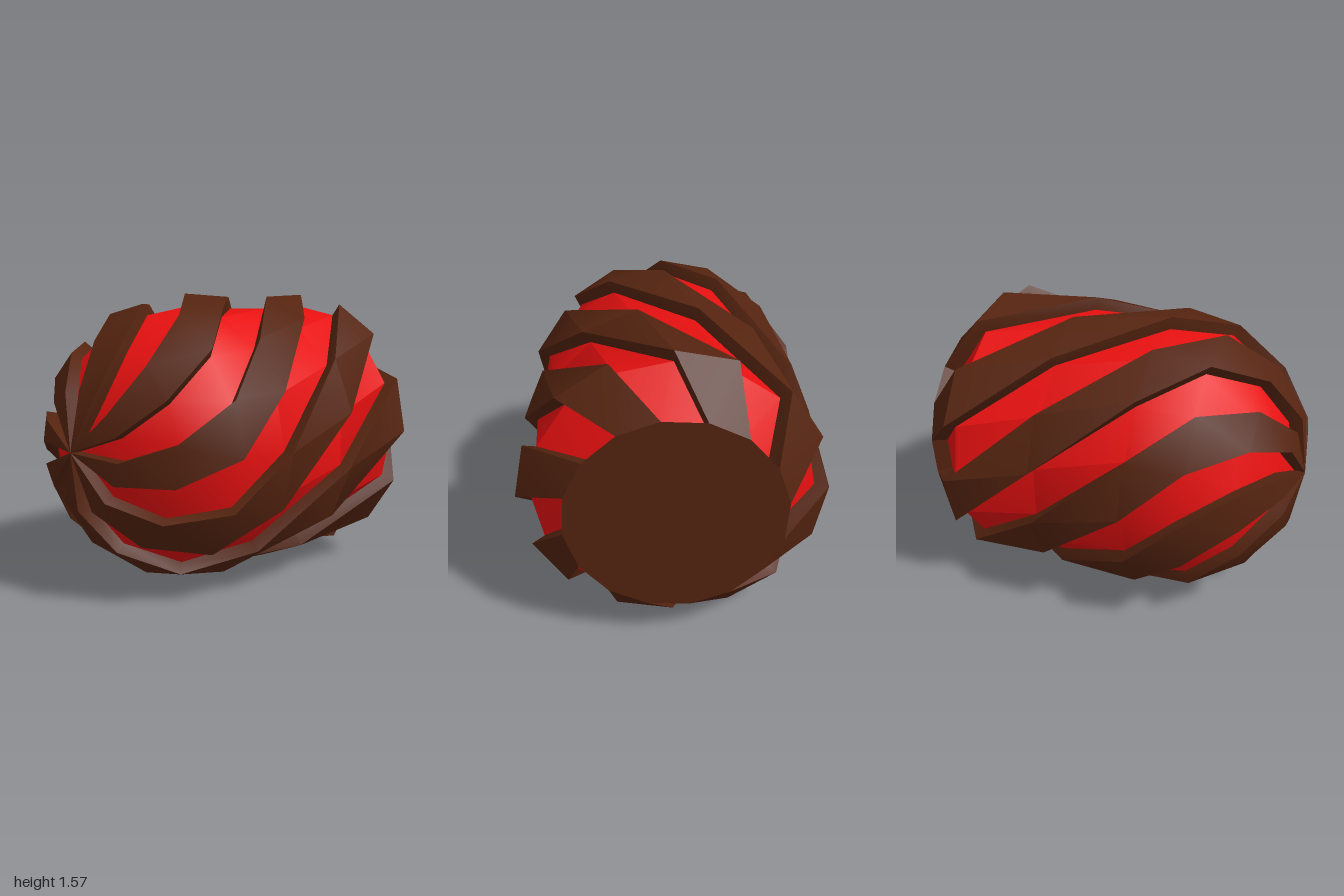
import * as THREE from 'three';
import { toCreasedNormals } from 'three/addons/utils/BufferGeometryUtils.js';

const CENTER_Y = 0.785;
const COUNT = 8;        // ribs around the axis
const WIDTH = 22.5;     // degrees covered by a rib, and by a groove

// Rings from nose to base: [rib z, rib radius, groove z, groove radius, twist in degrees]
const RINGS = [
  [1.0, 0, 0.94, 0, 52],
  [0.95, 0.31, 0.88, 0.28, 64],
  [0.78, 0.55, 0.73, 0.51, 75.5],
  [0.52, 0.73, 0.49, 0.67, 90],
  [0.22, 0.785, 0.21, 0.715, 112.5],
  [-0.28, 0.785, -0.28, 0.715, 146.25],
  [-0.78, 0.785, -0.75, 0.715, 180],
  [-1.0, 0.55, -0.93, 0.5, 195],
];

function point(z, r, degrees) {
  const a = THREE.MathUtils.degToRad(degrees);
  return new THREE.Vector3(r * Math.cos(a), r * Math.sin(a), z);
}
// Lines following the twist, on the rib surface and on the groove floor
const outer = (offset) => RINGS.map(([z, r, , , t]) => point(z, r, t + offset));
const inner = (offset) => RINGS.map(([, , z, r, t]) => point(z, r, t + offset));

function triangle(out, a, b, c) {
  const area = b.clone().sub(a).cross(c.clone().sub(a)).length();
  if (area > 1e-7) for (const p of [a, b, c]) out.push(p.x, p.y, p.z);
}
function quad(out, a, b, c, d) {
  triangle(out, a, b, c);
  triangle(out, a, c, d);
}
// Surface between two neighbouring lines
function strip(out, a, b) {
  for (let i = 0; i < a.length - 1; i++) quad(out, a[i + 1], b[i + 1], b[i], a[i]);
}

function makeMesh(name, positions, material) {
  const geometry = new THREE.BufferGeometry();
  geometry.setAttribute('position', new THREE.Float32BufferAttribute(positions, 3));
  const mesh = new THREE.Mesh(toCreasedNormals(geometry, 0.6), material);
  mesh.name = name;
  return mesh;
}

export function createModel() {
  const brown = new THREE.MeshStandardMaterial({ color: 0x552410 });
  brown.name = 'dark brown';
  const red = new THREE.MeshStandardMaterial({ color: 0xe81010 });
  red.name = 'bright red';

  const model = new THREE.Group();
  model.name = 'twistedBulb';
  const body = new THREE.Group();
  body.name = 'body';
  body.position.y = CENTER_Y;
  model.add(body);

  const last = RINGS.length - 1;
  const base = [];
  const center = new THREE.Vector3(0, 0, RINGS[last][0]);

  for (let k = 0; k < COUNT; k++) {
    const start = (k * 360) / COUNT;
    const end = start + WIDTH;
    const next = start + 360 / COUNT;

    // Raised rib: top face and both side walls
    const rib = [];
    strip(rib, outer(start), outer(end));
    strip(rib, inner(start), outer(start));
    strip(rib, outer(end), inner(end));
    body.add(makeMesh('spiralRib', rib, brown));

    // Sunken groove floor
    const groove = [];
    strip(groove, inner(end), inner(next));
    body.add(makeMesh('spiralGroove', groove, red));

    // Base disc sectors and the lip closing each groove
    const o = [outer(start)[last], outer(end)[last], outer(next)[last]];
    triangle(base, center, o[1], o[0]);
    triangle(base, center, o[2], o[1]);
    quad(base, o[1], o[2], inner(next)[last], inner(end)[last]);
  }
  body.add(makeMesh('baseDisc', base, brown));
  return model;
}
